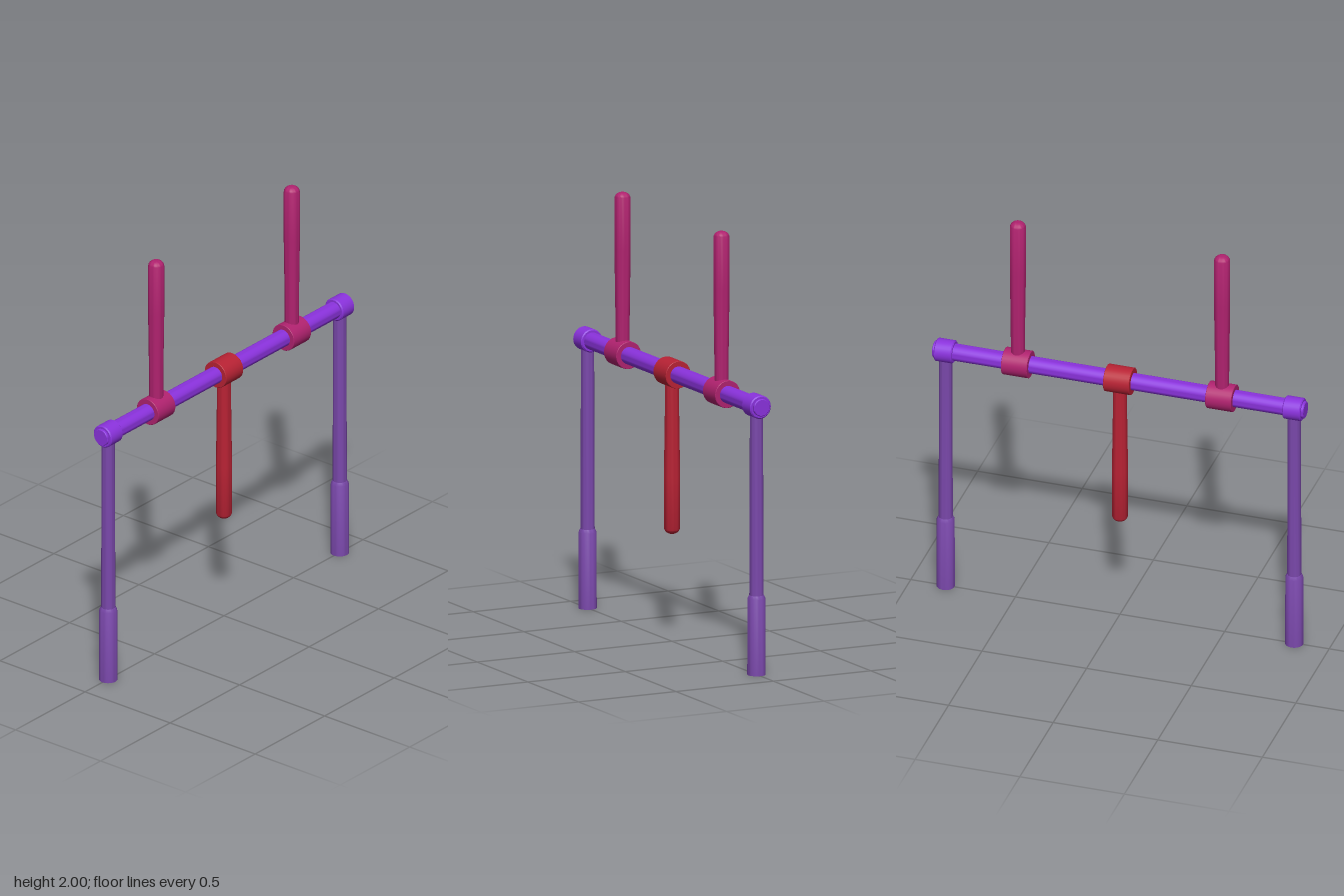
import * as THREE from 'three';
import { toCreasedNormals } from 'three/addons/utils/BufferGeometryUtils.js';

const mat = (name, color) => {
  const m = new THREE.MeshStandardMaterial({ color });
  m.name = name;
  return m;
};

// Round solid turned from [radius, height] points, bottom to top
const turned = (points) => toCreasedNormals(
  new THREE.LatheGeometry(points.map(([r, y]) => new THREE.Vector2(r, y)), 28), 0.6);

// Closed ring or rod centred on its axis, with small chamfers
const sleeve = (r, length, c) => turned([
  [0, -length / 2], [r - c, -length / 2], [r, -length / 2 + c],
  [r, length / 2 - c], [r - c, length / 2], [0, length / 2],
]);

// Peg that widens gently towards a rounded tip
const pegGeometry = () => {
  const points = [[0, 0], [0.032, 0], [0.033, 0.2], [0.037, 0.48], [0.037, 0.72]];
  for (let i = 1; i <= 6; i++) {
    const a = (i / 6) * Math.PI / 2;
    points.push([i === 6 ? 0 : 0.037 * Math.cos(a), 0.72 + 0.03 * Math.sin(a)]);
  }
  return turned(points);
};

export function createModel() {
  const model = new THREE.Group();
  model.name = 'pegRail';
  const violet = mat('violet', 0x8a32dc);
  const purple = mat('mutedPurple', 0x7a48ab);
  const magenta = mat('magenta', 0xb0226f);
  const red = mat('red', 0xb82234);
  const barY = 1.25;

  const add = (name, geometry, material, x, y, parent = model) => {
    const mesh = new THREE.Mesh(geometry, material);
    mesh.name = name;
    mesh.position.set(x, y, 0);
    parent.add(mesh);
    return mesh;
  };
  const addAlongX = (...args) => { add(...args).rotation.z = -Math.PI / 2; };

  // Crossbar
  addAlongX('crossbar', sleeve(0.04, 1.775, 0.003), violet, 0, barY);

  // Legs with thick feet, and the end caps that hold them
  const leg = turned([[0, 0.3], [0.033, 0.3], [0.03, barY], [0, barY]]);
  const foot = turned([[0, 0], [0.042, 0], [0.041, 0.355], [0.034, 0.37], [0, 0.37]]);
  const cap = sleeve(0.054, 0.086, 0.005);
  for (const [side, s] of [['left', 1], ['right', -1]]) {
    add(side + 'Leg', leg, purple, s * 0.833, 0);
    add(side + 'Foot', foot, purple, s * 0.833, 0);
    addAlongX(side + 'EndCap', cap, violet, s * 0.833, barY);
  }

  // Collars with pegs: two upward, one downward in the middle
  const collar = sleeve(0.064, 0.124, 0.002);
  const peg = pegGeometry();
  for (const [name, x, material, down] of [
    ['left', 0.488, magenta, false], ['right', -0.488, magenta, false], ['middle', 0, red, true],
  ]) {
    addAlongX(name + 'Collar', collar, material, x, barY);
    const mesh = add(name + 'Peg', peg, material, x, barY);
    if (down) mesh.rotation.z = Math.PI;
  }
  return model;
}
